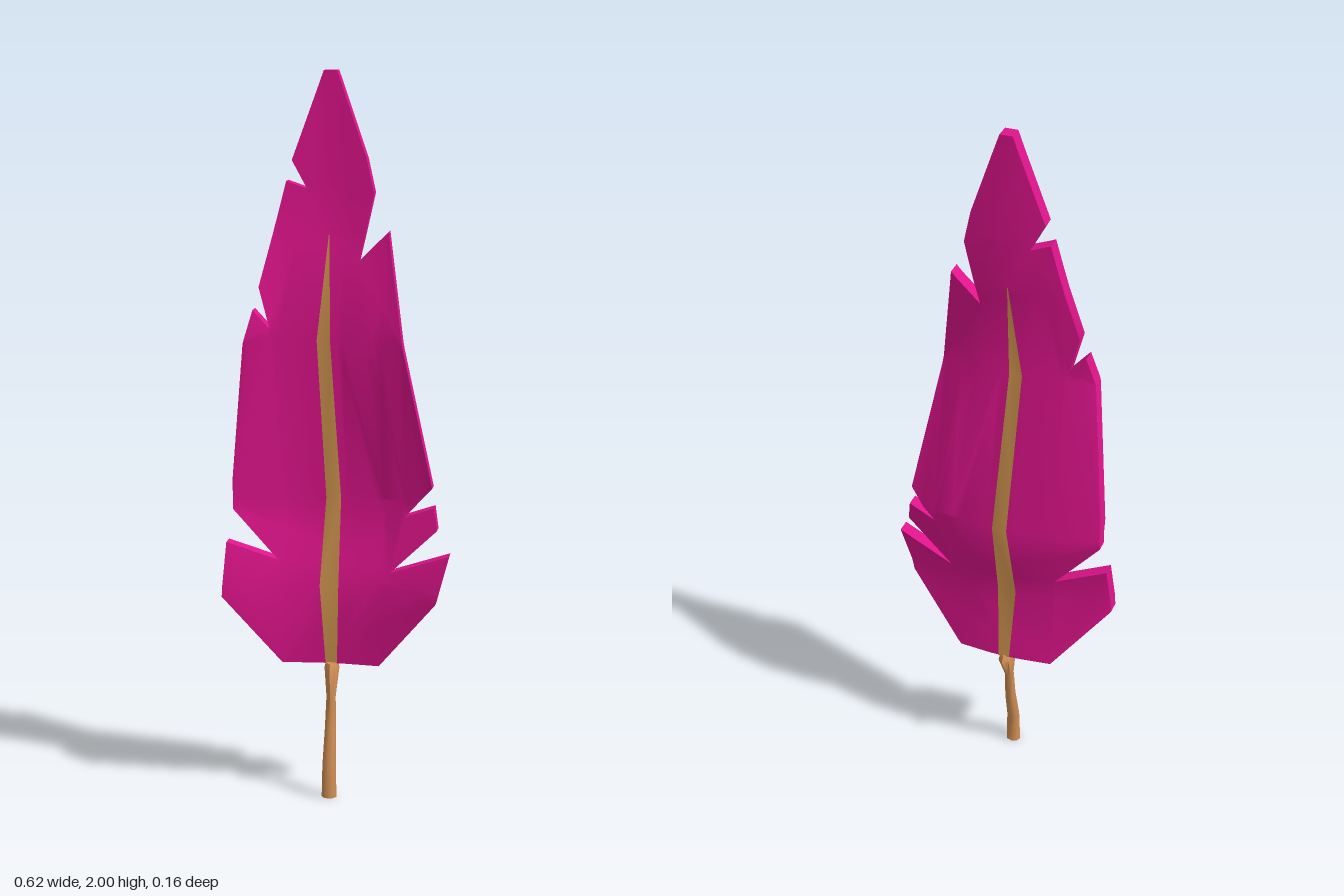
import * as THREE from 'three';
import { toCreasedNormals } from 'three/addons/utils/BufferGeometryUtils.js';

const HALF = 0.02; // half the vane thickness

// Vane outline, counter-clockwise, with the torn notches
const OUTLINE = [
  [-0.155, 0.375], [0.115, 0.375], [0.275, 0.57], [0.31, 0.705], [0.145, 0.645],
  [0.275, 0.77], [0.265, 0.83], [0.185, 0.8], [0.26, 0.885], [0.185, 1.27],
  [0.14, 1.58], [0.06, 1.5], [0.1, 1.68], [0.08, 1.77], [0, 2], [-0.035, 2],
  [-0.12, 1.765], [-0.08, 1.69], [-0.135, 1.71], [-0.205, 1.43], [-0.175, 1.32],
  [-0.22, 1.37], [-0.245, 1.28], [-0.29, 0.885], [-0.29, 0.81], [-0.165, 0.67],
  [-0.305, 0.72], [-0.315, 0.57],
];
// Wavy centre line seen from the side: [y, z]
const SPINE = [[0.375, -0.025], [0.6, -0.01], [0.84, -0.055], [1.29, 0.033], [1.57, 0], [1.7, -0.005], [2, -0.005]];
// Lines across which the vane bends
const X_CUTS = [-0.155, -0.05, 0.02, 0.125];
const Y_CUTS = SPINE.slice(1, -1).map((p) => p[0]);
const CUTS = [...X_CUTS.map((v) => [0, v]), ...Y_CUTS.map((v) => [1, v])];

function spineZ(y) {
  let i = 0;
  while (i < SPINE.length - 2 && y > SPINE[i + 1][0]) i++;
  const [a, b] = [SPINE[i], SPINE[i + 1]];
  return THREE.MathUtils.lerp(a[1], b[1], (y - a[0]) / (b[0] - a[0]));
}

// Both edges of the vane curl forward
function vaneZ([x, y]) {
  const d = Math.abs(x + 0.015);
  const curl = d < 0.035 ? 0 : d < 0.14 ? (d - 0.035) * 0.095 : 0.01 + (d - 0.14) * 0.23;
  return spineZ(y) + curl;
}

const mix = (a, b, t) => [a[0] + (b[0] - a[0]) * t, a[1] + (b[1] - a[1]) * t];

// Keep the part of a convex polygon on one side of a cut line
function clip(poly, axis, v, sign) {
  const out = [];
  poly.forEach((a, i) => {
    const b = poly[(i + 1) % poly.length];
    const da = (a[axis] - v) * sign;
    const db = (b[axis] - v) * sign;
    if (da >= 0) out.push(a);
    if (da * db < 0) out.push(mix(a, b, da / (da - db)));
  });
  return out;
}

function geometryFrom(points) {
  const g = new THREE.BufferGeometry();
  g.setAttribute('position', new THREE.Float32BufferAttribute(points.flat(), 3));
  return g;
}

function vaneGeometry() {
  const pts = [];
  const at = (p, side) => [p[0], p[1], vaneZ(p) + side * HALF];

  // Front and back faces, divided along the bend lines
  const contour = OUTLINE.map((p) => new THREE.Vector2(...p));
  let cells = THREE.ShapeUtils.triangulateShape(contour, []).map((t) => t.map((i) => OUTLINE[i]));
  for (const [axis, v] of CUTS) {
    cells = cells.flatMap((c) => [clip(c, axis, v, 1), clip(c, axis, v, -1)]).filter((c) => c.length > 2);
  }
  for (const c of cells) {
    for (let i = 1; i < c.length - 1; i++) {
      const [p, q, r] = [c[0], c[i], c[i + 1]];
      const area = (q[0] - p[0]) * (r[1] - p[1]) - (q[1] - p[1]) * (r[0] - p[0]);
      if (Math.abs(area) < 1e-8) continue;
      const [m, n] = area > 0 ? [q, r] : [r, q];
      pts.push(at(p, 1), at(m, 1), at(n, 1), at(p, -1), at(n, -1), at(m, -1));
    }
  }

  // Rim walls
  OUTLINE.forEach((a, i) => {
    const b = OUTLINE[(i + 1) % OUTLINE.length];
    const ts = CUTS.map(([k, v]) => (v - a[k]) / (b[k] - a[k])).filter((t) => t > 1e-4 && t < 1 - 1e-4);
    const stops = [0, ...ts.sort((s, t) => s - t), 1].map((t) => mix(a, b, t));
    for (let j = 0; j < stops.length - 1; j++) {
      const [p, q] = [stops[j], stops[j + 1]];
      pts.push(at(p, -1), at(q, -1), at(q, 1), at(p, -1), at(q, 1), at(p, 1));
    }
  });
  return toCreasedNormals(geometryFrom(pts), 0.7);
}

// Tapering shaft stripe lying on one face: rows of [y, left x, right x]
function stripeGeometry(side) {
  const rows = [[0.375, -0.035, -0.003], [0.6, -0.049, 0.003], [0.84, -0.037, 0.004], [1.29, -0.049, -0.013], [1.57, -0.021, -0.019]];
  const pts = [];
  const at = (x, y) => [x, y, spineZ(y) + side * (HALF + 0.0015)];
  for (let i = 0; i < rows.length - 1; i++) {
    const [y0, l0, r0] = rows[i];
    const [y1, l1, r1] = rows[i + 1];
    const quad = [at(l0, y0), at(r0, y0), at(r1, y1), at(l0, y0), at(r1, y1), at(l1, y1)];
    pts.push(...(side > 0 ? quad : quad.reverse()));
  }
  return toCreasedNormals(geometryFrom(pts), 0.7);
}

// Bent quill, a cylinder reshaped by rows of [y, centre z, half width, half depth]
function quillGeometry() {
  const rows = [
    [0, 0.037, 0.021, 0.018], [0.09, 0.036, 0.019, 0.018], [0.19, 0.01, 0.016, 0.017],
    [0.28, 0, 0.013, 0.016], [0.36, -0.016, 0.021, 0.046], [0.378, -0.016, 0.016, 0.034],
  ];
  const g = new THREE.CylinderGeometry(1, 1, 1, 8, rows.length - 1);
  const p = g.attributes.position;
  for (let i = 0; i < p.count; i++) {
    const [y, z, w, d] = rows[Math.round((p.getY(i) + 0.5) * (rows.length - 1))];
    p.setXYZ(i, -0.019 + p.getX(i) * w, y, z + p.getZ(i) * d);
  }
  return toCreasedNormals(g, 0.9);
}

export function createModel() {
  const group = new THREE.Group();
  group.name = 'feather';
  const pink = new THREE.MeshStandardMaterial({ color: 0xe0148c });
  const tan = new THREE.MeshStandardMaterial({ color: 0xd1954f });
  const brown = new THREE.MeshStandardMaterial({ color: 0xd18f55 });
  const add = (name, geometry, material) => {
    const mesh = new THREE.Mesh(geometry, material);
    mesh.name = name;
    group.add(mesh);
  };
  add('vane', vaneGeometry(), pink);
  add('frontShaftStripe', stripeGeometry(1), tan);
  add('backShaftStripe', stripeGeometry(-1), tan);
  add('quill', quillGeometry(), brown);
  return group;
}
